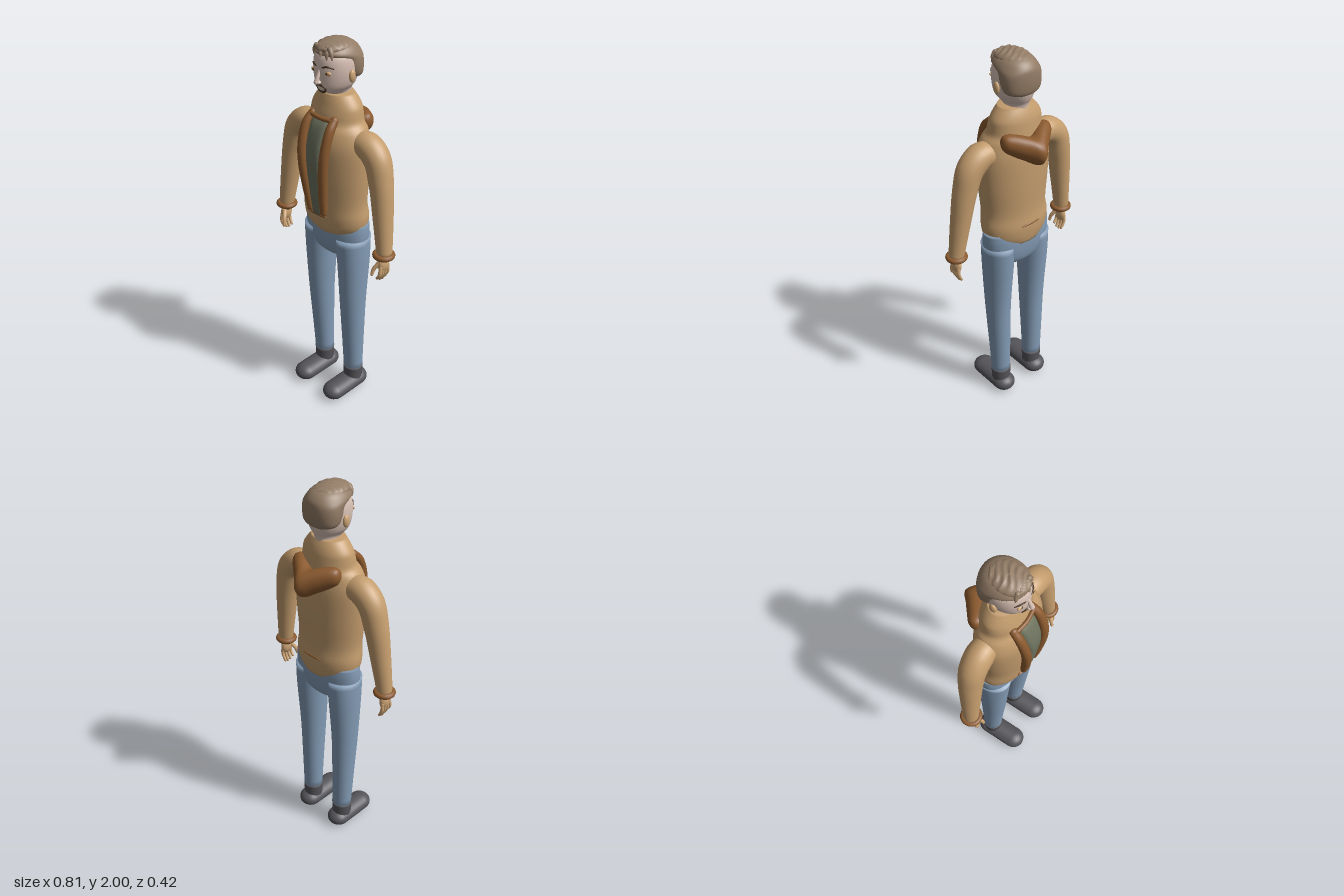
import * as THREE from 'three';
import { mergeGeometries } from 'three/addons/utils/BufferGeometryUtils.js';

const paint = (name, color) => new THREE.MeshStandardMaterial({ name, color });

// Smooth body through rows [y, halfWidth, zFront, zBack, xCentre], bottom to top, capped.
// power below 1 makes the sections boxier.
function loft(rows, power = 1, n = 40, sub = 4) {
  const flat = rows.flatMap(([y, hx, zf, zb, cx = 0]) => [y, hx, zf, zb, cx]);
  const spline = new THREE.CubicInterpolant(rows.map((_, i) => i), flat, 5, new Float32Array(5));
  const count = (rows.length - 1) * sub + 1;
  const pos = [], index = [];
  const bend = (v) => Math.sign(v) * Math.abs(v) ** power;
  for (let i = 0; i < count; i++) {
    const [y, hx, zf, zb, cx] = spline.evaluate(i / sub);
    for (let j = 0; j < n; j++) {
      const a = (j / n) * Math.PI * 2;
      pos.push(cx + hx * bend(Math.cos(a)), y, (zf + zb) / 2 + ((zf - zb) / 2) * bend(Math.sin(a)));
    }
  }
  for (const r of [rows[0], rows[rows.length - 1]]) pos.push(r[4] ?? 0, r[0], (r[2] + r[3]) / 2);
  const low = count * n, last = (count - 1) * n;
  for (let j = 0; j < n; j++) {
    const k = (j + 1) % n;
    for (let i = 0; i < last; i += n) index.push(i + j, i + n + j, i + k, i + k, i + n + j, i + n + k);
    index.push(low, j, k, low + 1, last + k, last + j);
  }
  const g = new THREE.BufferGeometry();
  g.setAttribute('position', new THREE.Float32BufferAttribute(pos, 3));
  g.setIndex(index);
  g.computeVertexNormals();
  return g;
}

// Tapered round limb along points, with ball ends.
function limb(points, radii, seg = 32, n = 20) {
  const path = new THREE.CatmullRomCurve3(points.map((p) => new THREE.Vector3(...p)));
  const g = new THREE.TubeGeometry(path, seg, 1, n);
  const p = g.attributes.position, v = new THREE.Vector3();
  for (let i = 0; i <= seg; i++) {
    const c = path.getPointAt(i / seg);
    const t = path.getUtoTmapping(i / seg) * (radii.length - 1);
    const k = Math.min(Math.floor(t), radii.length - 2);
    const r = THREE.MathUtils.lerp(radii[k], radii[k + 1], t - k);
    for (let j = 0; j <= n; j++) {
      const q = i * (n + 1) + j;
      v.fromBufferAttribute(p, q).sub(c).multiplyScalar(r).add(c);
      p.setXYZ(q, v.x, v.y, v.z);
    }
  }
  const ball = (i) => new THREE.SphereGeometry(radii[i], n, 12).translate(...points[i]);
  return mergeGeometries([g, ball(0), ball(points.length - 1)]);
}

const blob = (at, size) => new THREE.SphereGeometry(1, 24, 16).scale(...size).translate(...at);

export function createModel() {
  const model = new THREE.Group();
  const jacket = paint('tan jacket', 0xc49d6e), trim = paint('brown trim', 0x8b5a2f);
  const lining = paint('grey green lining', 0x6e735f), denim = paint('blue denim', 0x849cb6);
  const leather = paint('dark grey leather', 0x55555a), skin = paint('pale skin', 0xdcc4b8);
  const warm = paint('warm skin', 0xcfa676), hair = paint('brown hair', 0x937c66);
  const dark = paint('dark brown', 0x4a3524);
  const add = (name, geometry, material, parent = model) => {
    const m = new THREE.Mesh(geometry, material);
    m.name = name;
    parent.add(m);
    return m;
  };

  // Jacket body with its high collar
  add('jacketBody', loft([
    [1.02, 0.14, 0.11, -0.1], [1.06, 0.18, 0.135, -0.108], [1.12, 0.19, 0.145, -0.112],
    [1.2, 0.182, 0.15, -0.105], [1.35, 0.195, 0.16, -0.11], [1.5, 0.2, 0.16, -0.11],
    [1.58, 0.18, 0.14, -0.1], [1.62, 0.15, 0.12, -0.095], [1.66, 0.142, 0.11, -0.09],
    [1.69, 0.135, 0.1, -0.085], [1.72, 0.115, 0.09, -0.075], [1.75, 0.088, 0.078, -0.06],
  ]), jacket);

  // Front lining between the lapels, with its brown end bars
  add('liningPanel', loft([
    [1.14, 0.035, 0.158, 0.08], [1.25, 0.042, 0.172, 0.08], [1.4, 0.05, 0.186, 0.08],
    [1.5, 0.055, 0.182, 0.08], [1.6, 0.057, 0.15, 0.06], [1.645, 0.055, 0.115, 0.04],
  ], 0.6), lining);
  add('topBar', limb([[-0.06, 1.64, 0.115], [0, 1.64, 0.122], [0.06, 1.64, 0.115]], [0.011, 0.011, 0.011]), trim);
  add('hemBar', blob([-0.01, 1.135, 0.14], [0.07, 0.01, 0.015]), trim);
  add('backSeam', blob([0, 1.13, -0.108], [0.06, 0.006, 0.007]), trim);

  // Hood folded on the back: swept sideways into a pointed V
  const hoodHalf = [[0.143, 0.012, -0.06, -0.08, -1.6], [0.132, 0.036, -0.04, -0.1, -1.6],
    [0.1, 0.054, -0.02, -0.128, -1.59], [0.05, 0.063, -0.04, -0.17, -1.57]];
  const hoodRows = [...hoodHalf.map(([x, ...r]) => [-x, ...r]), [0, 0.068, -0.06, -0.21, -1.55],
    ...[...hoodHalf].reverse()];
  add('hood', loft(hoodRows, 1, 32, 3).rotateZ(-Math.PI / 2), trim);

  // Hips
  add('hips', loft([
    [0.865, 0.05, 0.05, -0.04], [0.9, 0.14, 0.09, -0.075], [0.96, 0.185, 0.108, -0.09],
    [1.03, 0.194, 0.11, -0.095], [1.085, 0.191, 0.1, -0.09],
  ], 0.9), denim);

  for (const s of [1, -1]) {
    const side = new THREE.Group();
    side.name = s > 0 ? 'leftSide' : 'rightSide';
    model.add(side);
    const at = (x, y, z) => [s * x, y, z];

    // Leg and shoe
    add('leg', loft([
      [0.13, 0.052, 0.05, -0.05, s * 0.113], [0.35, 0.058, 0.066, -0.054, s * 0.115],
      [0.6, 0.066, 0.085, -0.06, s * 0.117], [0.86, 0.077, 0.1, -0.08, s * 0.116],
      [1.0, 0.084, 0.108, -0.088, s * 0.11],
    ]), denim, side);
    add('shoeAnkle', loft([[0.04, 0.05, 0.055, -0.05, s * 0.113], [0.1, 0.053, 0.052, -0.051, s * 0.113],
      [0.15, 0.055, 0.053, -0.052, s * 0.113]]), leather, side);
    add('shoe', new THREE.CapsuleGeometry(0.062, 0.171, 10, 28).rotateX(Math.PI / 2)
      .scale(1, 0.73, 1).translate(s * 0.113, 0.0455, 0.0625), leather, side);

    // Sleeve, cuff and lapel
    add('sleeve', limb([at(0.15, 1.53, 0.015), at(0.21, 1.53, 0.015), at(0.265, 1.485, 0.016),
      at(0.298, 1.38, 0.02), at(0.327, 1.2, 0.03), at(0.35, 1.03, 0.04)],
    [0.06, 0.068, 0.066, 0.06, 0.05, 0.04], 40, 28), jacket, side);
    add('cuff', new THREE.TorusGeometry(0.042, 0.014, 12, 32).rotateX(Math.PI / 2)
      .translate(s * 0.35, 1.01, 0.042), trim, side);
    add('lapel', limb([at(0.072, 1.64, 0.1), at(0.077, 1.6, 0.135), at(0.075, 1.5, 0.167),
      at(0.068, 1.4, 0.173), at(0.053, 1.25, 0.16), at(0.045, 1.16, 0.148)],
    [0.02, 0.023, 0.024, 0.024, 0.022, 0.018]), trim, side);

    // Hand with four fingers and a thumb
    const fingers = [0, 1, 2, 3].map((i) => limb([at(0.358, 0.95, 0.022 + i * 0.016),
      at(0.358, 0.91, 0.02 + i * 0.019), at(0.342, 0.88 - 0.012 * Math.sin(i + 0.5), 0.022 + i * 0.018)],
    [0.01, 0.009, 0.007], 8, 10));
    const thumb = limb([at(0.345, 0.97, 0.065), at(0.326, 0.935, 0.085), at(0.322, 0.905, 0.093)],
      [0.013, 0.01, 0.008], 8, 10);
    add('hand', mergeGeometries([blob(at(0.353, 0.96, 0.045), [0.021, 0.045, 0.034]),
      blob(at(0.35, 1.0, 0.042), [0.027, 0.035, 0.03]), ...fingers, thumb]), warm, side);

    // Ear, brow and eye
    add('ear', blob(at(0.102, 1.843, 0.016), [0.012, 0.03, 0.018]), warm, side);
    add('brow', limb([at(0.019, 1.888, 0.121), at(0.042, 1.895, 0.116), at(0.066, 1.887, 0.098)],
      [0.004, 0.005, 0.003], 10, 8), dark, side);
    add('eyelid', blob(at(0.042, 1.863, 0.111), [0.021, 0.011, 0.009]), warm, side);
    add('pupil', blob(at(0.042, 1.863, 0.117), [0.007, 0.007, 0.005]), dark, side);
  }

  // Head, neck and nose
  add('head', loft([
    [1.7, 0.06, 0.06, -0.06], [1.745, 0.055, 0.07, -0.065], [1.765, 0.062, 0.105, -0.07],
    [1.79, 0.08, 0.12, -0.083], [1.83, 0.094, 0.125, -0.095], [1.88, 0.1, 0.126, -0.1],
    [1.93, 0.094, 0.118, -0.097], [1.965, 0.07, 0.09, -0.073], [1.985, 0.035, 0.05, -0.04],
  ]), skin);
  add('nose', mergeGeometries([limb([[0, 1.87, 0.122], [0, 1.84, 0.134], [0, 1.82, 0.142]],
    [0.007, 0.01, 0.012], 10, 12), blob([0, 1.818, 0.134], [0.018, 0.01, 0.014])]), skin);

  // Moustache and beard around the mouth
  add('moustache', limb([[-0.03, 1.79, 0.113], [-0.016, 1.802, 0.121], [0, 1.804, 0.124],
    [0.016, 1.802, 0.121], [0.03, 1.79, 0.113]], [0.004, 0.007, 0.006, 0.007, 0.004], 20, 10), dark);
  add('beard', limb([[-0.028, 1.79, 0.112], [-0.02, 1.773, 0.107], [0, 1.767, 0.106],
    [0.02, 1.773, 0.107], [0.028, 1.79, 0.112]], [0.004, 0.006, 0.008, 0.006, 0.004], 20, 10), dark);

  // Hair cap and wavy top
  add('hairCap', loft([
    [1.813, 0.06, 0.0, -0.088], [1.83, 0.094, 0.02, -0.1], [1.87, 0.104, 0.045, -0.106],
    [1.915, 0.103, 0.065, -0.106], [1.942, 0.096, 0.118, -0.1], [1.968, 0.076, 0.1, -0.078],
    [1.986, 0.045, 0.065, -0.045],
  ], 0.95), hair);
  const mop = new THREE.SphereGeometry(1, 48, 32).scale(0.076, 0.034, 0.096);
  const p = mop.attributes.position;
  for (let i = 0; i < p.count; i++) {
    const x = p.getX(i), z = p.getZ(i);
    p.setY(i, p.getY(i) + 0.003 * Math.sin(z * 190 + 5 * Math.sin(x * 30)));
  }
  mop.computeVertexNormals();
  add('hairTop', mop.translate(0, 1.963, 0.026), hair);
  const tufts = [[-0.06, 1.93], [-0.03, 1.945], [0.005, 1.94], [0.035, 1.918], [0.058, 1.928]];
  add('fringe', mergeGeometries(tufts.map(([x, y]) => limb([[x * 0.7, 1.97, 0.095],
    [x * 0.9, 1.953, 0.118 - Math.abs(x) * 0.35], [x, y, 0.122 - Math.abs(x) * 0.4]],
  [0.014, 0.011, 0.004], 10, 10))), hair);
  return model;
}
